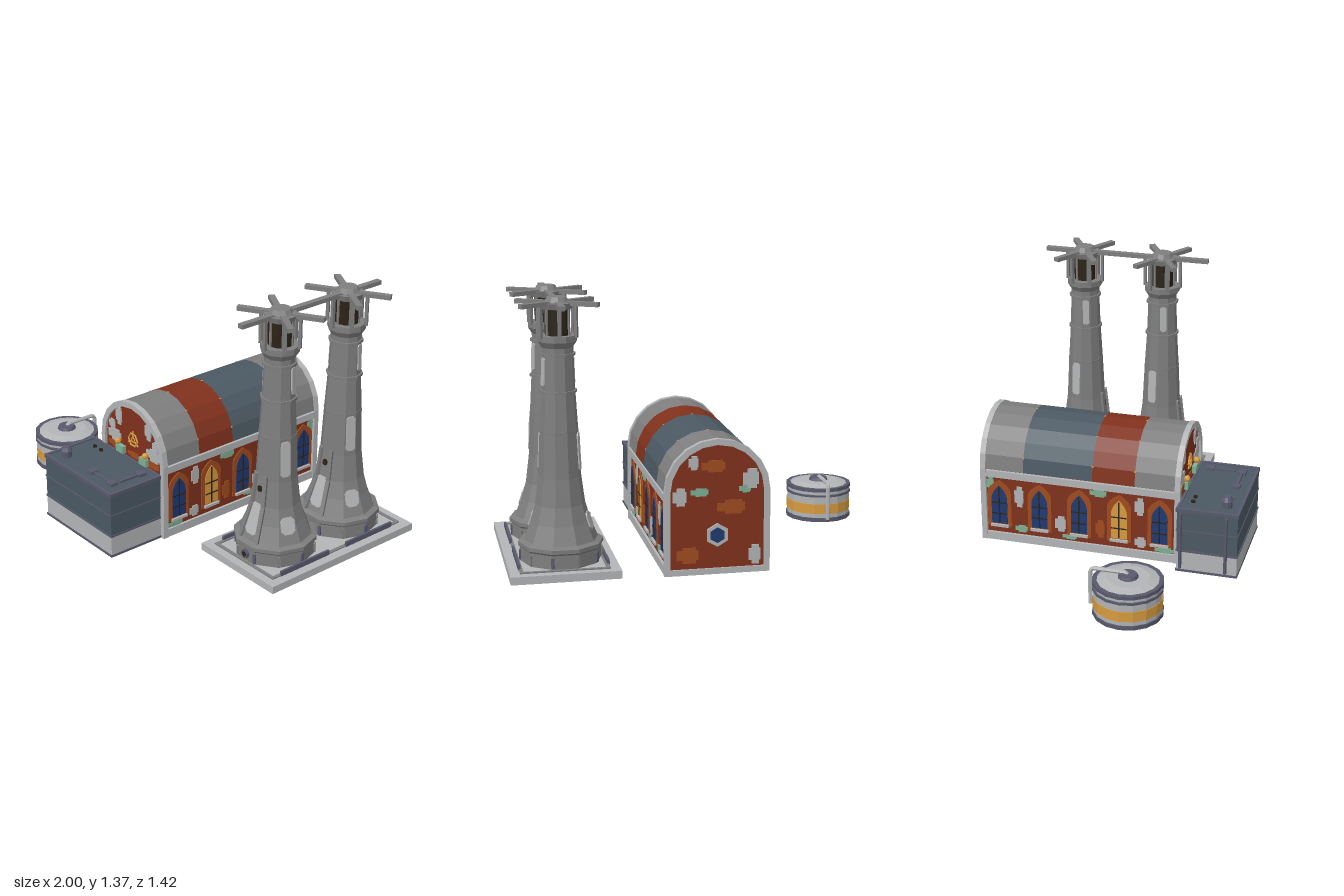
import * as THREE from 'three';

const mat = (name, hex) => {
  const m = new THREE.MeshStandardMaterial({ color: hex, flatShading: true });
  m.name = name;
  return m;
};
const pale = mat('paleStone', 0xb2b4b5), grey = mat('towerGrey', 0x7e7e7e), slate = mat('slate', 0x4b5963),
  red = mat('brickRed', 0x80311c), rust = mat('rustBrown', 0xa04c1f), blue = mat('glassBlue', 0x203a70),
  teal = mat('verdigris', 0x7db094), gold = mat('gold', 0xd79b3e), steel = mat('violetSteel', 0x58596c),
  dark = mat('darkBrown', 0x2c2318);

function add(parent, name, geo, material, x = 0, y = 0, z = 0) {
  const m = new THREE.Mesh(geo, material);
  m.name = name;
  m.position.set(x, y, z);
  parent.add(m);
  return m;
}
const box = (p, name, material, w, h, d, x, y, z) => add(p, name, new THREE.BoxGeometry(w, h, d), material, x, y, z);
const cyl = (p, name, material, r0, r1, h, n, x, y, z) => add(p, name, new THREE.CylinderGeometry(r1, r0, h, n), material, x, y, z);
const slab = (shape, depth) => new THREE.ExtrudeGeometry(shape, { depth, bevelEnabled: false, curveSegments: 6 });
function group(parent, name, x = 0, y = 0, z = 0) {
  const g = new THREE.Group();
  g.name = name;
  g.position.set(x, y, z);
  parent.add(g);
  return g;
}

// Half-circle points from +x over the top to -x
const SPRING = 0.42, CX = -0.0225;
const arc = (r) => Array.from({ length: 11 }, (_, i) => {
  const a = i * Math.PI / 10;
  return new THREE.Vector2(r * Math.cos(a), SPRING + r * Math.sin(a));
});
const archPoints = (r, y0) => [new THREE.Vector2(-r, y0), new THREE.Vector2(r, y0), ...arc(r)];

// Pointed window outline
function lancet(w, y0, spring, top) {
  const s = new THREE.Shape();
  s.moveTo(-w, y0);
  s.lineTo(w, y0);
  s.lineTo(w, spring);
  s.quadraticCurveTo(w, (spring + top) / 2, 0, top);
  s.quadraticCurveTo(-w, (spring + top) / 2, -w, spring);
  return s;
}

// Blocky worn patch made from two crossing thin plates
function patch(p, material, x, y, w, h) {
  box(p, 'wornPatch', material, w, h * 0.6, 0.006, x, y, 0.002);
  box(p, 'wornPatch', material, w * 0.6, h, 0.007, x + w * 0.08, y, 0.002);
}

function buildHall(root) {
  const hall = group(root, 'hall', CX);
  add(hall, 'brickBody', slab(new THREE.Shape(archPoints(0.25, 0.01)), 1.07), red, 0, 0, -0.7);
  box(hall, 'underside', dark, 0.5, 0.01, 1.06, 0, 0.006, -0.165);

  // End frames
  for (const z of [-0.71, 0.355]) {
    const s = new THREE.Shape(archPoints(0.2675, 0));
    s.holes.push(new THREE.Path(archPoints(0.237, 0.03).reverse()));
    add(hall, 'endFrame', slab(s, 0.03), pale, 0, 0, z);
  }

  // Coloured roof bands and studs on the joints
  const bands = [[-0.68, -0.47, grey], [-0.47, -0.09, slate], [-0.09, 0.14, red], [0.14, 0.355, grey]];
  for (const [z0, z1, m] of bands) {
    const s = new THREE.Shape([...arc(0.262), ...arc(0.248).reverse()]);
    add(hall, 'roofBand', slab(s, z1 - z0), m, 0, 0, z0);
    if (z0 > -0.6) for (let i = 1; i < 10; i += 2) {
      const a = i * Math.PI / 10;
      box(hall, 'roofStud', gold, 0.01, 0.01, 0.01, 0.258 * Math.cos(a), SPRING + 0.258 * Math.sin(a), z0);
    }
  }

  // Side walls
  for (const s of [-1, 1]) {
    box(hall, 'eavesRail', pale, 0.025, 0.038, 1.04, s * 0.254, 0.394, -0.165);
    box(hall, 'plinth', pale, 0.02, 0.045, 1.04, s * 0.254, 0.0225, -0.165);
    const wall = group(hall, 'sideWall', s * 0.25);
    wall.rotation.y = s * Math.PI / 2;
    [0.275, 0.055, -0.165, -0.385, -0.61].forEach((z, i) => {
      const bay = group(wall, 'windowBay', -s * z);
      add(bay, 'windowSurround', slab(lancet(0.066, 0.08, 0.28, 0.355), 0.006), rust);
      add(bay, 'windowGlass', slab(lancet(0.044, 0.1, 0.24, 0.325), 0.004), i === 1 ? gold : blue, 0, 0, 0.005);
      box(bay, 'mullion', dark, 0.007, 0.21, 0.004, 0, 0.21, 0.01);
      for (const y of [0.16, 0.225]) box(bay, 'glazingBar', dark, 0.084, 0.006, 0.004, 0, y, 0.01);
      box(bay, 'windowSill', pale, 0.1, 0.014, 0.02, 0, 0.088, 0.008);
    });
    const worn = [[teal, 0.3, 0.06, 0.1, 0.03], [pale, 0.165, 0.3, 0.05, 0.1], [teal, -0.06, 0.35, 0.09, 0.04],
      [pale, -0.27, 0.14, 0.06, 0.09], [teal, -0.22, 0.07, 0.08, 0.03], [pale, -0.5, 0.27, 0.05, 0.12],
      [teal, -0.66, 0.33, 0.04, 0.08], [pale, 0.17, 0.09, 0.06, 0.06], [rust, -0.05, 0.14, 0.05, 0.1], [teal, -0.49, 0.08, 0.07, 0.04]];
    for (const [m, z, y, w, h] of worn) patch(wall, m, -s * z, y, w, h);
  }

  // Front gable with wheel emblem, lamps and planters
  const front = group(hall, 'frontGable', 0, 0, 0.37);
  for (const s of [-1, 1]) {
    patch(front, pale, s * 0.165, 0.445, 0.11, 0.07);
    patch(front, pale, s * 0.125, 0.57, 0.05, 0.1);
    patch(front, pale, s * 0.185, 0.5, 0.05, 0.06);
    patch(front, rust, s * 0.15, 0.39, 0.13, 0.04);
    box(front, 'planter', teal, 0.06, 0.04, 0.025, s * 0.1, 0.39, 0.012);
    add(front, 'lamp', new THREE.SphereGeometry(0.018, 8, 6), gold, s * 0.117, 0.43, 0.018);
  }
  patch(front, rust, 0, 0.385, 0.1, 0.03);
  const wheel = group(front, 'wheelEmblem', 0, 0.475, 0.006);
  add(wheel, 'wheelRim', new THREE.TorusGeometry(0.038, 0.005, 5, 6), gold);
  add(wheel, 'wheelHub', new THREE.TorusGeometry(0.014, 0.004, 5, 6), gold);
  for (let i = 0; i < 3; i++) {
    const a = Math.PI / 2 + i * Math.PI * 2 / 3;
    box(wheel, 'wheelSpoke', gold, 0.036, 0.007, 0.006, 0.032 * Math.cos(a), 0.032 * Math.sin(a), 0).rotation.z = a;
  }

  // Back gable with hexagonal window
  const back = group(hall, 'backGable', 0, 0, -0.7);
  back.rotation.y = Math.PI;
  cyl(back, 'hexFrame', pale, 0.06, 0.06, 0.012, 6, 0, 0.2, 0.004).rotation.x = Math.PI / 2;
  cyl(back, 'hexGlass', blue, 0.04, 0.04, 0.014, 6, 0, 0.2, 0.006).rotation.x = Math.PI / 2;
  const marks = [[pale, 0.17, 0.48, 0.08, 0.1], [pale, -0.19, 0.4, 0.07, 0.09], [teal, -0.09, 0.42, 0.09, 0.04],
    [rust, 0.07, 0.34, 0.14, 0.07], [rust, -0.15, 0.1, 0.11, 0.08], [teal, 0.14, 0.43, 0.06, 0.04],
    [pale, 0.19, 0.09, 0.06, 0.1], [rust, -0.02, 0.55, 0.12, 0.06], [pale, -0.12, 0.57, 0.05, 0.07]];
  for (const [m, x, y, w, h] of marks) patch(back, m, x, y, w, h);
}

function buildAnnex(root) {
  const a = group(root, 'annex', -0.07, 0, 0.545);
  box(a, 'annexBase', pale, 0.575, 0.11, 0.32, 0, 0.065, 0);
  box(a, 'annexWalls', slate, 0.575, 0.235, 0.32, 0, 0.2375, 0);
  box(a, 'annexRoof', slate, 0.55, 0.02, 0.3, 0, 0.352, 0);
  for (const [y, h] of [[0.006, 0.012], [0.121, 0.01], [0.24, 0.006]]) box(a, 'trimBand', steel, 0.583, h, 0.328, 0, y, 0);
  for (const s of [-1, 1]) {
    box(a, 'roofRim', steel, 0.585, 0.02, 0.016, 0, 0.357, s * 0.157);
    box(a, 'roofRim', steel, 0.016, 0.02, 0.33, s * 0.285, 0.357, 0);
  }
  // Roof fittings
  cyl(a, 'ventPipe', steel, 0.027, 0.027, 0.05, 10, -0.2, 0.385, 0.085);
  cyl(a, 'ventCap', steel, 0.033, 0.02, 0.022, 10, -0.2, 0.412, 0.085);
  for (const x of [-0.195, -0.14]) cyl(a, 'roofStub', dark, 0.011, 0.011, 0.012, 8, x, 0.367, -0.095);
  box(a, 'roofPipe', steel, 0.16, 0.012, 0.015, 0.11, 0.367, 0.085);
  box(a, 'roofPipe', steel, 0.015, 0.012, 0.15, 0.21, 0.367, -0.03);
  for (const [x, z] of [[0.03, 0.085], [0.2, 0.085], [0.21, -0.09]]) box(a, 'pipeBox', steel, 0.045, 0.018, 0.045, x, 0.368, z);
  // Conduit on the outer side wall
  cyl(a, 'sideConduit', steel, 0.009, 0.009, 0.32, 6, -0.292, 0.18, -0.14);
  cyl(a, 'sideConduit', steel, 0.009, 0.009, 0.32, 6, -0.292, 0.18, 0.1);
}

// Chimney profile: radius, height
const PROFILE = [[0, 0.04], [0.205, 0.04], [0.205, 0.11], [0.216, 0.12], [0.216, 0.14], [0.188, 0.15], [0.152, 0.24], [0.126, 0.33],
  [0.108, 0.47], [0.097, 0.7], [0.085, 0.9], [0.079, 1.08], [0.079, 1.12], [0.098, 1.15], [0.098, 1.18], [0, 1.18]];
function radiusAt(y) {
  const i = PROFILE.findIndex((p, k) => k > 1 && p[1] >= y);
  const [r0, y0] = PROFILE[i - 1], [r1, y1] = PROFILE[i];
  return r0 + (r1 - r0) * (y - y0) / (y1 - y0);
}
// Thin plate lying along the chimney surface at an angle in degrees
function facePlate(p, name, material, deg, y0, y1, w, onEdge = false, d = 0.008) {
  const k = onEdge ? 1 : Math.cos(Math.PI / 10), r0 = radiusAt(y0) * k, r1 = radiusAt(y1) * k;
  const pivot = group(p, name);
  pivot.rotation.y = deg * Math.PI / 180;
  const h = Math.hypot(y1 - y0, r1 - r0), c = Math.min(w, h) * 0.22;
  const s = new THREE.Shape([[-w / 2 + c, -h / 2], [w / 2 - c, -h / 2], [w / 2, -h / 2 + c], [w / 2, h / 2 - c],
    [w / 2 - c, h / 2], [-w / 2 + c, h / 2], [-w / 2, h / 2 - c], [-w / 2, -h / 2 + c]].map((q) => new THREE.Vector2(...q)));
  add(pivot, name + 'Plate', slab(s, d), material, 0, (y0 + y1) / 2, (r0 + r1) / 2 - 0.002).rotation.x = Math.atan2(r1 - r0, y1 - y0);
}

function buildChimney(root, z) {
  const c = group(root, 'chimney', 0.72, 0, z);
  add(c, 'chimneyShaft', new THREE.LatheGeometry(PROFILE.map((q) => new THREE.Vector2(...q)), 10, Math.PI / 10), grey);
  for (const [y, r] of [[0.7, 0.099], [0.9, 0.094], [1.085, 0.089]]) cyl(c, 'shaftRing', grey, r, r, 0.014, 10, 0, y, 0).rotation.y = Math.PI / 10;

  // Access panels, hatch, port and ribs
  facePlate(c, 'frontPanel', pale, 0, 0.18, 0.34, 0.085);
  for (const a of [72, 252]) {
    facePlate(c, 'lowerPanel', pale, a, 0.2, 0.285, 0.075);
    facePlate(c, 'ovalPanel', pale, a, 0.5, 0.69, 0.05);
  }
  for (const a of [108, 288]) facePlate(c, 'upperPanel', pale, a, 0.93, 1.07, 0.036);
  facePlate(c, 'hatch', dark, 0, 0.405, 0.435, 0.028);
  for (const a of [-18, 18]) for (const [y0, y1] of [[0.15, 0.33], [0.33, 0.5]]) facePlate(c, 'rib', grey, a, y0, y1, 0.022, true, 0.014);
  cyl(c, 'portRing', steel, 0.024, 0.024, 0.02, 10, 0, 0.08, 0.2).rotation.x = Math.PI / 2;
  cyl(c, 'portHole', dark, 0.014, 0.014, 0.024, 10, 0, 0.08, 0.2).rotation.x = Math.PI / 2;
  for (let i = 0; i < 10; i++) facePlate(c, 'foot', i % 2 ? grey : steel, 18 + i * 36, 0.045, 0.1, 0.016, true);

  // Lantern, posts and six-armed cap
  cyl(c, 'lanternCore', dark, 0.062, 0.062, 0.14, 10, 0, 1.25, 0);
  cyl(c, 'lanternCap', grey, 0.075, 0.085, 0.03, 10, 0, 1.325, 0);
  cyl(c, 'topKnob', grey, 0.062, 0.048, 0.024, 10, 0, 1.356, 0);
  for (let i = 0; i < 6; i++) {
    const arm = group(c, 'capArm');
    arm.rotation.y = i * Math.PI / 3;
    const len = i === 0 ? 0.258 : 0.22;
    box(arm, 'armBeam', grey, 0.032, 0.022, len, 0, 1.337, len / 2);
    box(arm, 'armPost', grey, 0.018, 0.16, 0.016, 0, 1.25, 0.1);
    box(arm, 'coreStrip', grey, 0.012, 0.14, 0.01, 0, 1.25, 0.062);
  }
}

function buildChimneyBase(root) {
  const b = group(root, 'chimneyBase', 0.725, 0, -0.195);
  box(b, 'basePlate', pale, 0.55, 0.04, 0.99, 0, 0.02, 0);
  for (const s of [-1, 1]) {
    box(b, 'baseRail', grey, 0.018, 0.008, 0.9, s * 0.215, 0.042, 0);
    box(b, 'baseRail', grey, 0.448, 0.008, 0.018, 0, 0.042, s * 0.441);
    for (const z of [-0.22, 0.23]) box(b, 'baseBracket', steel, 0.012, 0.03, 0.33, s * 0.222, 0.052, z);
  }
}

function buildTank(root) {
  const t = group(root, 'tank', -0.82, 0, 0.25);
  // Stacked rings: bottom, top, radius, colour
  const rings = [[0, 0.022, 0.18, steel], [0.022, 0.045, 0.174, pale], [0.045, 0.1, 0.177, gold], [0.1, 0.14, 0.174, pale],
    [0.14, 0.152, 0.18, steel], [0.152, 0.17, 0.172, pale], [0.17, 0.188, 0.18, steel]];
  for (const [y0, y1, r, m] of rings) cyl(t, 'tankRing', m, r, r, y1 - y0, 16, 0, (y0 + y1) / 2, 0);
  cyl(t, 'tankLid', pale, 0.165, 0.11, 0.014, 16, 0, 0.193, 0);
  cyl(t, 'lidHub', steel, 0.054, 0.045, 0.02, 12, 0, 0.207, 0);
  // Pipe from the hub over the rim and down the back
  const path = new THREE.CurvePath();
  const pts = [[0, 0.2, 0], [0, 0.222, -0.01], [0, 0.222, -0.18], [0, 0.205, -0.195], [0, 0.02, -0.195]].map((q) => new THREE.Vector3(...q));
  for (let i = 1; i < pts.length; i++) path.add(new THREE.LineCurve3(pts[i - 1], pts[i]));
  add(t, 'tankPipe', new THREE.TubeGeometry(path, 40, 0.011, 6), pale);
}

export function createModel() {
  const root = new THREE.Group();
  root.name = 'powerStation';
  buildHall(root);
  buildAnnex(root);
  buildChimneyBase(root);
  for (const z of [0.035, -0.415]) buildChimney(root, z);
  buildTank(root);
  return root;
}
